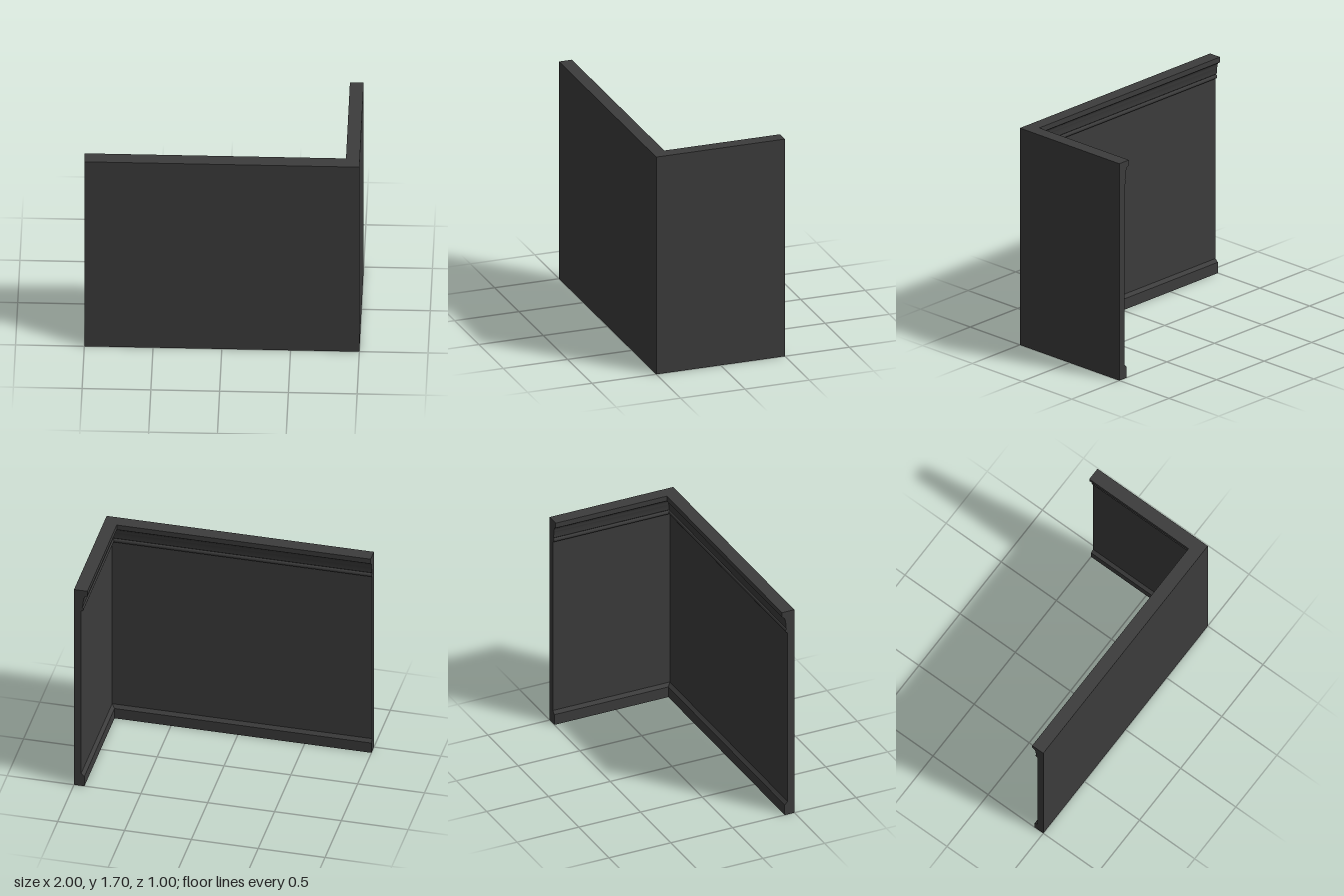
import * as THREE from 'three';
import { toCreasedNormals } from 'three/addons/utils/BufferGeometryUtils.js';

const H = 1.7, WALL = 0.054;

// Sweeps a closed counter-clockwise profile (depth from outer face, height)
// round the L-shaped path, with a mitred corner and capped ends.
function sweep(profile) {
  const rings = [
    profile.map(([d, y]) => [-1, y, 0.5 - d]),
    profile.map(([d, y]) => [1 - d, y, 0.5 - d]),
    profile.map(([d, y]) => [1 - d, y, -0.5]),
  ];
  const pos = [];
  const tri = (a, b, c) => pos.push(...a, ...b, ...c);
  const n = profile.length;
  for (let r = 0; r < 2; r++) {
    const p = rings[r], q = rings[r + 1];
    for (let i = 0; i < n; i++) {
      const j = (i + 1) % n;
      tri(p[i], p[j], q[j]);
      tri(p[i], q[j], q[i]);
    }
  }
  const outline = profile.map(([d, y]) => new THREE.Vector2(d, y));
  for (const [a, b, c] of THREE.ShapeUtils.triangulateShape(outline, [])) {
    tri(rings[0][a], rings[0][c], rings[0][b]);
    tri(rings[2][a], rings[2][b], rings[2][c]);
  }
  const geo = new THREE.BufferGeometry();
  geo.setAttribute('position', new THREE.Float32BufferAttribute(pos, 3));
  return toCreasedNormals(geo, 0.6);
}

// Points of an elliptical arc in the profile plane
function arc(cx, cy, rx, ry, from, to, steps) {
  return Array.from({ length: steps + 1 }, (_, i) => {
    const a = from + ((to - from) * i) / steps;
    return [cx + rx * Math.cos(a), cy + ry * Math.sin(a)];
  });
}

export function createModel() {
  const group = new THREE.Group();
  const material = new THREE.MeshStandardMaterial({ color: 0x3c3c3c });
  const add = (name, profile) => {
    const mesh = new THREE.Mesh(sweep(profile), material);
    mesh.name = name;
    group.add(mesh);
  };

  // Two plain walls meeting at the corner
  add('walls', [[0, 0], [WALL, 0], [WALL, H], [0, H]]);

  // Skirting board with a bevelled top edge
  add('skirting', [[WALL, 0], [0.078, 0], [0.078, 0.085], [0.068, 0.093], [WALL, 0.108]]);

  // Cornice: small bead, flat frieze, hollow cove and square lip
  add('cornice', [
    [WALL, 1.52],
    ...arc(0.06, 1.538, 0.011, 0.016, -Math.PI / 2, Math.PI / 2, 6),
    [0.066, 1.56],
    [0.069, 1.605],
    ...arc(0.095, 1.61, 0.024, 0.045, Math.PI, Math.PI / 2, 6),
    [0.1, 1.66],
    [0.1, H],
    [WALL, H],
  ]);
  return group;
}
